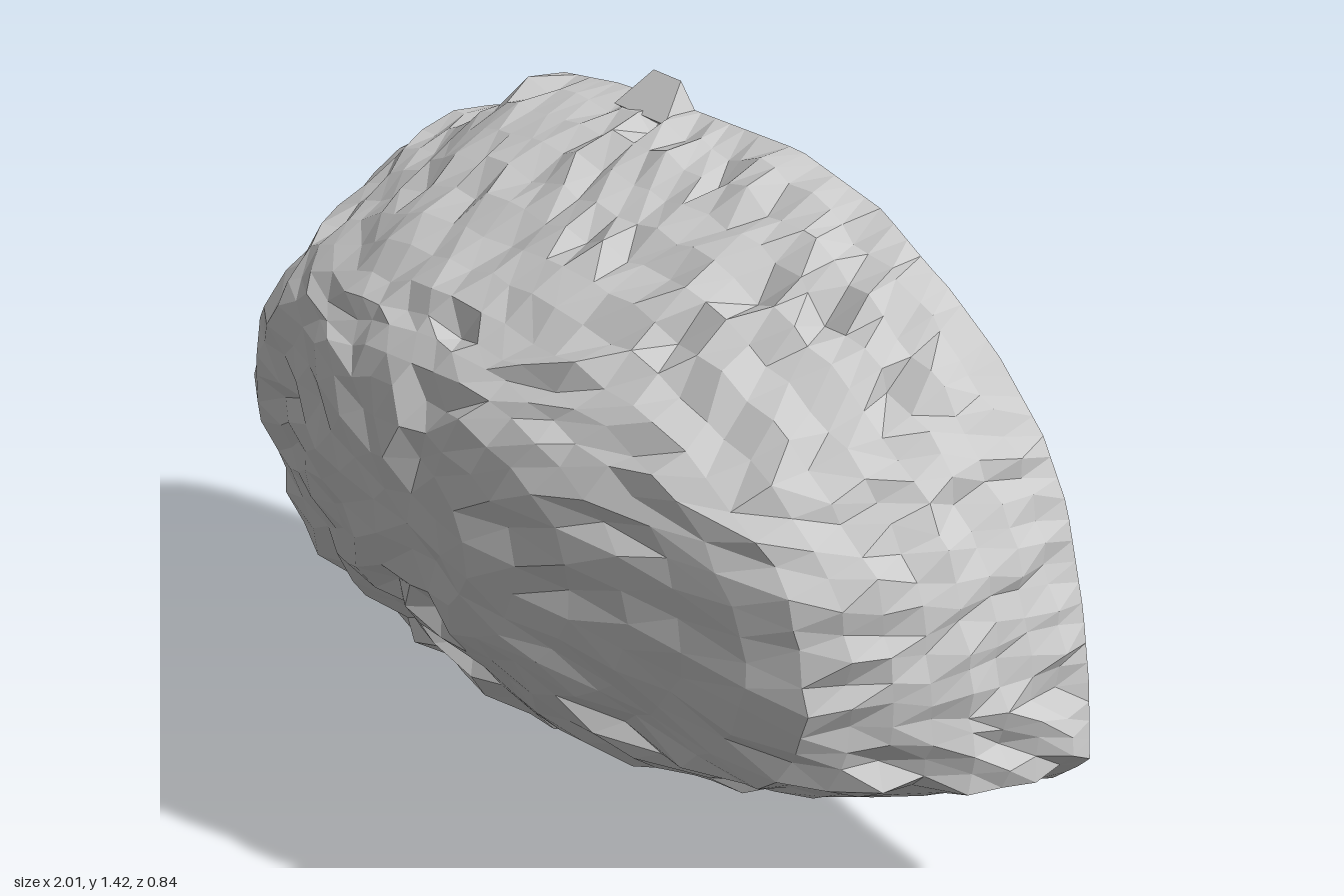
import * as THREE from 'three';
import { ConvexGeometry } from 'three/addons/geometries/ConvexGeometry.js';

const N = 16; // grid cells from the front tip to the rim

// Silhouette of the flat back, counter-clockwise seen from the front
const OUTLINE = [
  [0.96, 0.55], [0.93, 0.7], [0.87, 0.9], [0.8, 1.02], [0.68, 1.14], [0.55, 1.23], [0.49, 1.26],
  [0.37, 1.33], [0.15, 1.38], [-0.15, 1.37], [-0.37, 1.36], [-0.55, 1.33], [-0.7, 1.21],
  [-0.82, 1.17], [-0.9, 1.08], [-0.92, 0.97], [-0.98, 0.82], [-0.98, 0.7], [-0.94, 0.58],
  [-0.87, 0.46], [-0.7, 0.34], [-0.55, 0.2], [-0.46, 0.19], [-0.37, 0.11], [-0.14, 0.07],
  [-0.1, 0.03], [-0.03, 0], [0.08, 0], [0.16, 0.03], [0.21, 0.07], [0.4, 0.12], [0.66, 0.22],
  [0.88, 0.28], [0.98, 0.38],
];

// Slices from back to front: z, left, right, bottom, top
const SLICES = [
  [-0.42, -0.98, 0.98, 0, 1.38], [-0.3, -0.995, 0.995, 0.06, 1.365], [-0.1, -0.945, 0.98, 0.15, 1.3],
  [0.1, -0.885, 0.895, 0.245, 1.215], [0.2, -0.83, 0.84, 0.305, 1.16], [0.25, -0.77, 0.74, 0.345, 1.13],
  [0.285, -0.64, 0.59, 0.4, 1.11], [0.335, -0.52, 0.46, 0.485, 1.07], [0.38, -0.4, 0.28, 0.55, 1],
  [0.41, -0.28, 0.14, 0.61, 0.92], [0.42, -0.07, -0.07, 0.77, 0.77],
];

// Seeded noise in -1..1
let seed = 7;
const noise = () => {
  seed = (seed * 16807) % 2147483647;
  return (seed / 2147483647) * 2 - 1;
};

const bump = (v, centre, width) => Math.exp(-(((v - centre) / width) ** 2));

// How rough the stone is: chipped below the brow and on the upper right
const roughness = (x, y) =>
  0.009 + 0.015 * bump(y, 0.44, 0.14) + 0.015 * bump(x, 0.45, 0.25) * bump(y, 1.2, 0.14);

// Distance along the dome of each slice, 0 at the rim and 1 at the tip
const travel = [0];
for (let k = 1; k < SLICES.length; k++) {
  const [a, b] = [SLICES[k - 1], SLICES[k]];
  const inward = (a[2] - a[1] + a[4] - a[3] - (b[2] - b[1] + b[4] - b[3])) / 4;
  travel.push(travel[k - 1] + Math.hypot(b[0] - a[0], inward));
}

function sliceAt(f) {
  const d = f * travel.at(-1);
  const k = Math.max(1, travel.findIndex((t) => t >= d - 1e-9));
  const t = (d - travel[k - 1]) / (travel[k] - travel[k - 1]);
  return SLICES[k].map((v, n) => THREE.MathUtils.lerp(SLICES[k - 1][n], v, t));
}

// Way round the square ring of radius r, 0..8r, from the middle of its right side
function around(u, v, r) {
  if (u === r) return (v + 8 * r) % (8 * r);
  if (v === r) return 2 * r - u;
  if (u === -r) return 4 * r - v;
  return 6 * r + u;
}

// Square grid wrapped over the dome, so facets stay even up to the tip
function rockGeometry() {
  const path = new THREE.CurvePath();
  OUTLINE.forEach((p, i) => {
    const q = OUTLINE[(i + 1) % OUTLINE.length];
    path.add(new THREE.LineCurve(new THREE.Vector2(...p), new THREE.Vector2(...q)));
  });
  const centre = new THREE.Vector3(0, 0.7, -0.42);
  const pos = [], index = [], rim = [], row = 2 * N + 1;
  for (let v = -N; v <= N; v++) {
    for (let u = -N; u <= N; u++) {
      const r = Math.max(Math.abs(u), Math.abs(v));
      const step = r ? around(u, v, r) : 0;
      const [z, left, right, bottom, top] = sliceAt(1 - r / N);
      const o = path.getPoint(r ? step / (8 * r) : 0);
      o.set(o.x / 0.98, (o.y - 0.69) / 0.69);

      // Cross-sections grow rounder to the front
      const n = 2.3;
      const oval = (Math.abs(o.x) ** n + Math.abs(o.y) ** n) ** (-1 / n);
      o.multiplyScalar(THREE.MathUtils.lerp(1, oval, THREE.MathUtils.smoothstep(z, -0.25, 0.36)));
      const p = new THREE.Vector3(
        (left + right + o.x * (right - left)) / 2, (bottom + top + o.y * (top - bottom)) / 2, z);

      if (r === N) {
        rim[step] = pos.length / 3;
      } else {
        // Rough facets, occasional pits and a crack down the front
        const rough = roughness(p.x, p.y);
        const pit = noise() > 0.75 ? rough * 1.5 : 0;
        const out = p.clone().sub(centre).normalize();
        p.addScaledVector(out, noise() * rough - pit);
        p.x += noise() * 0.012;
        p.y += noise() * 0.012;
        p.z -= 0.045 * bump(p.x, -0.04, 0.05) * bump(p.y, 0.8, 0.2);
      }
      pos.push(p.x, p.y, p.z);
    }
  }
  for (let v = -N; v < N; v++) {
    for (let u = -N; u < N; u++) {
      const a = (v + N) * row + u + N, b = a + 1, c = b + row, d = a + row;
      if ((u < 0) === (v < 0)) index.push(a, b, c, a, c, d);
      else index.push(a, b, d, b, c, d);
    }
  }

  // Flat back
  const hub = pos.length / 3;
  pos.push(...centre.toArray());
  rim.forEach((a, i) => index.push(hub, rim[(i + 1) % rim.length], a));

  const geo = new THREE.BufferGeometry();
  geo.setAttribute('position', new THREE.Float32BufferAttribute(pos, 3));
  geo.setIndex(index);
  const flat = geo.toNonIndexed();
  flat.computeVertexNormals();
  return flat;
}

export function createModel() {
  const group = new THREE.Group();
  group.name = 'halfBoulder';
  const material = new THREE.MeshStandardMaterial({ color: 0xcccccc, flatShading: true });

  const rock = new THREE.Mesh(rockGeometry(), material);
  rock.name = 'rock';
  group.add(rock);

  // Small raised chip on the top rear edge
  const chip = new THREE.Mesh(new ConvexGeometry([
    [-0.32, 1.36, -0.42], [-0.27, 1.42, -0.42], [-0.19, 1.42, -0.42], [-0.14, 1.36, -0.42],
    [-0.3, 1.36, -0.34], [-0.15, 1.36, -0.34], [-0.23, 1.3, -0.42],
  ].map((p) => new THREE.Vector3(...p))), material);
  chip.name = 'topChip';
  group.add(chip);
  return group;
}
